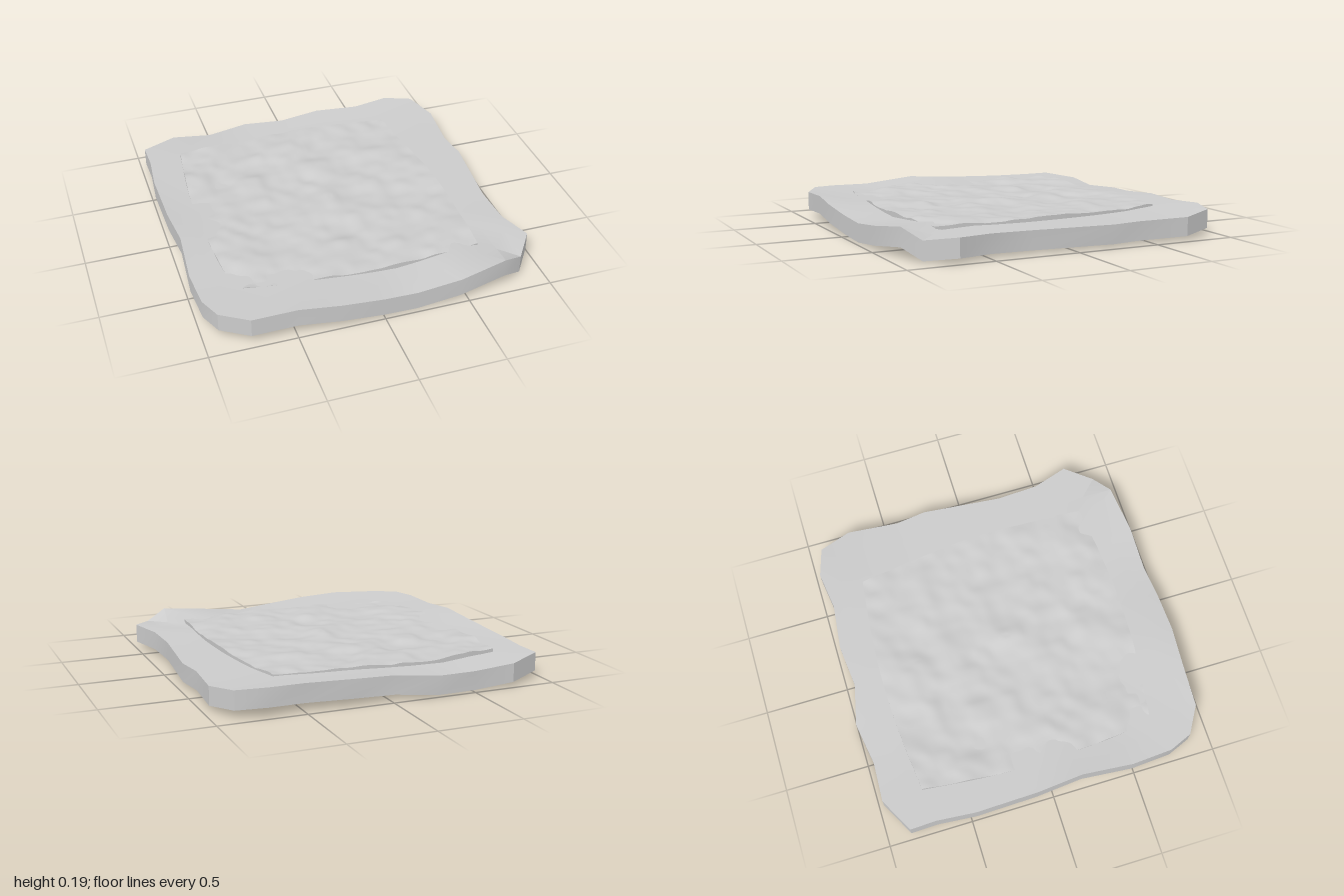
import * as THREE from 'three';
import { toCreasedNormals } from 'three/addons/utils/BufferGeometryUtils.js';

const grey = new THREE.MeshStandardMaterial({ color: 0xcccccc });
const lerp = THREE.MathUtils.lerp;

// Slab rim, clockwise from above: [x, z, top height]
const rim = [
  [-0.97, -0.86, 0.15], [-0.76, -0.97, 0.135], [-0.52, -0.96, 0.113], [-0.27, -1, 0.125], [-0.03, -0.945, 0.14],
  [0.22, -0.97, 0.155], [0.49, -0.94, 0.155], [0.71, -0.97, 0.165], [0.88, -0.92, 0.155], [0.955, -0.73, 0.135],
  [0.93, -0.42, 0.13], [0.955, -0.24, 0.13], [0.91, 0.24, 0.13], [0.92, 0.49, 0.135], [0.985, 0.7, 0.142],
  [0.87, 0.86, 0.12], [0.74, 0.93, 0.177], [0.46, 0.97, 0.14], [0.2, 0.97, 0.112], [0, 0.985, 0.13],
  [-0.25, 0.99, 0.155], [-0.49, 0.97, 0.172], [-0.75, 0.96, 0.16], [-0.91, 0.865, 0.165], [-0.965, 0.73, 0.16],
  [-0.98, 0.49, 0.155], [-0.96, 0.18, 0.188], [-0.98, -0.1, 0.165], [-0.985, -0.47, 0.15], [-0.965, -0.7, 0.15],
];
const thickness = 0.11;

// Closed slab: rings run from the underside centre, round the rim, to the top centre
function slabGeometry() {
  const radii = [0, 0.3, 0.55, 0.75, 0.88, 1];
  const rows = [...radii.map((t) => [t, -thickness]), ...radii.toReversed().map((t) => [t, 0])];
  const n = rim.length, pos = [], index = [];
  for (const [t, drop] of rows) {
    for (const [x, z, y] of rim) pos.push(x * t, lerp(0.134, y, t ** 3) + drop, z * t);
  }
  for (let j = 0; j < rows.length - 1; j++) {
    for (let i = 0; i < n; i++) {
      const a = j * n + i, b = j * n + (i + 1) % n, c = a + n, d = b + n;
      if (j > 0) index.push(a, c, b);
      else index.push(a, c, d);
      if (j > 0 && j < rows.length - 2) index.push(b, c, d);
    }
  }
  const g = new THREE.BufferGeometry();
  g.setAttribute('position', new THREE.Float32BufferAttribute(pos, 3));
  g.setIndex(index);
  return toCreasedNormals(g, 0.45);
}

// Smooth seeded value noise in -1..1
function hash(i, j) {
  const s = Math.sin(i * 127.1 + j * 311.7 + 4.3) * 43758.5453;
  return (s - Math.floor(s)) * 2 - 1;
}
function noise(x, z) {
  const i = Math.floor(x), j = Math.floor(z);
  const u = THREE.MathUtils.smootherstep(x - i, 0, 1), v = THREE.MathUtils.smootherstep(z - j, 0, 1);
  return lerp(lerp(hash(i, j), hash(i + 1, j), u), lerp(hash(i, j + 1), hash(i + 1, j + 1), u), v);
}

// Bumpy sheet with bowed sides; its outermost cells fold down into a skirt
function sheetGeometry() {
  const n = 80;
  const g = new THREE.PlaneGeometry(1, 1, n + 2, n + 2).rotateX(-Math.PI / 2);
  const p = g.attributes.position;
  for (let k = 0; k < p.count; k++) {
    const i = k % (n + 3), j = Math.floor(k / (n + 3));
    const u = THREE.MathUtils.clamp((i - 1) / n, 0, 1), v = THREE.MathUtils.clamp((j - 1) / n, 0, 1);
    const bowU = Math.sin(Math.PI * u), bowV = Math.sin(Math.PI * v);
    const x = lerp(-0.765 - 0.05 * bowV, lerp(0.595, 0.67, v) + 0.05 * bowV, u);
    const z = lerp(-0.73 - 0.05 * bowU, lerp(0.67, 0.7, u) + 0.06 * bowU, v);
    const skirt = i === 0 || j === 0 || i === n + 2 || j === n + 2;
    const bumps = 0.011 * noise(x * 5 + z * 3, z * 6 - x * 2) + 0.006 * noise(x * 13, z * 13);
    p.setXYZ(k, x, skirt ? 0.12 : 0.151 + bumps, z);
  }
  return toCreasedNormals(g, 0.8);
}

export function createModel() {
  const group = new THREE.Group();
  group.name = 'groundSlab';
  for (const [name, geometry] of [['slab', slabGeometry()], ['bumpySheet', sheetGeometry()]]) {
    const mesh = new THREE.Mesh(geometry, grey);
    mesh.name = name;
    group.add(mesh);
  }
  return group;
}
